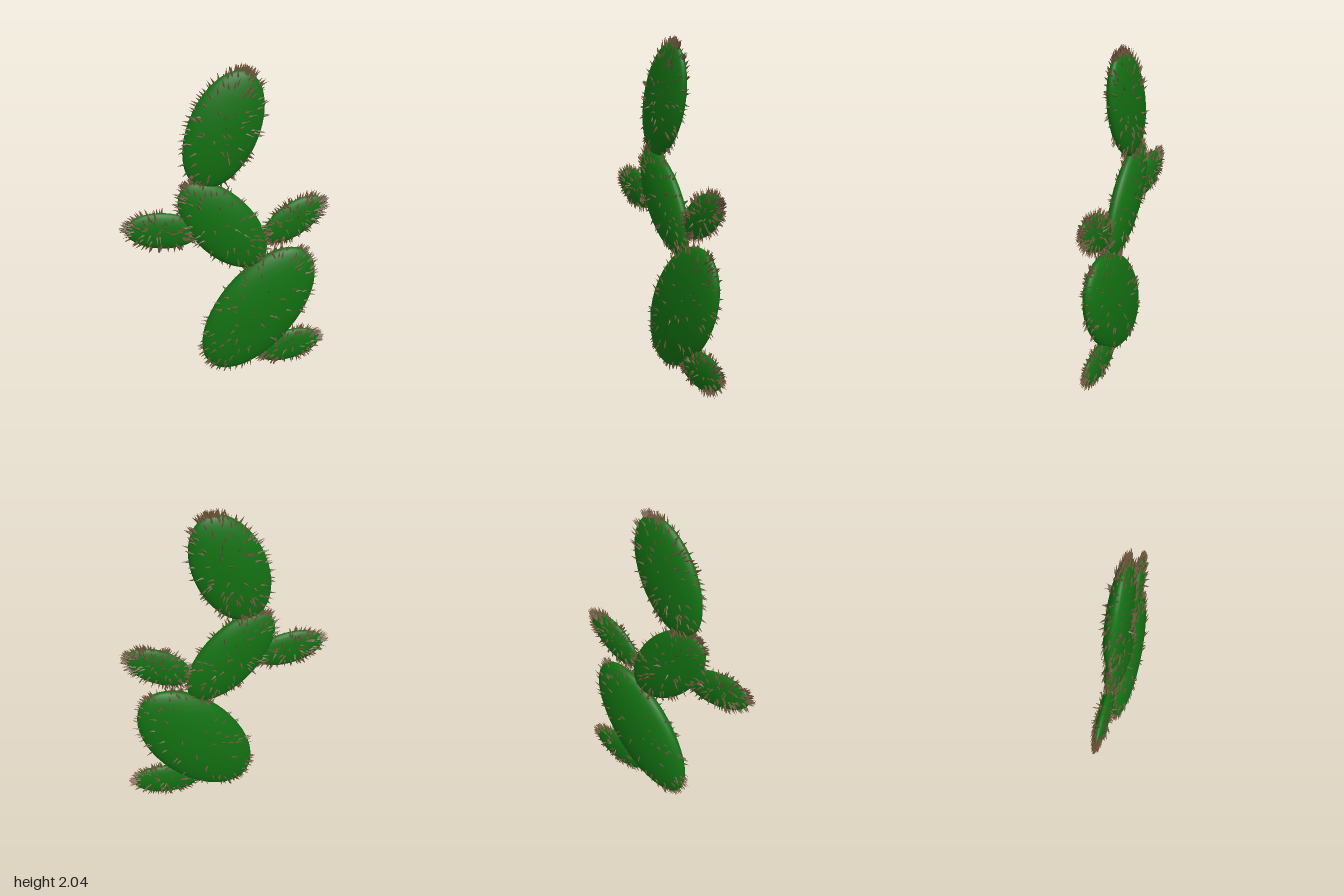
import * as THREE from 'three';
import { mergeGeometries } from 'three/addons/utils/BufferGeometryUtils.js';

const padMaterial = new THREE.MeshStandardMaterial({ color: 0x127012 });
const spineMaterial = new THREE.MeshStandardMaterial({ color: 0x6f553c, flatShading: true });

// Flattened pads: centre, half length, half width, half thickness,
// lean of the long axis from +x in degrees, number of spines
const PADS = [
  { name: 'basePad', x: 0.18, y: 0.445, a: 0.49, b: 0.272, t: 0.09, angle: 54, spines: 210 },
  { name: 'middlePad', x: -0.04, y: 1.06, a: 0.352, b: 0.186, t: 0.064, angle: 130, spines: 210 },
  { name: 'topPad', x: -0.04, y: 1.645, a: 0.35, b: 0.203, t: 0.065, angle: 67, spines: 240 },
  { name: 'rightArmPad', x: -0.4, y: 1.065, a: 0.215, b: 0.113, t: 0.037, angle: 172, spines: 240 },
  { name: 'leftArmPad', x: 0.385, y: 1.06, a: 0.21, b: 0.11, t: 0.037, angle: 33, spines: 240 },
  { name: 'lowerSidePad', x: 0.39, y: 0.138, a: 0.215, b: 0.115, t: 0.037, angle: 10, spines: 240 },
];

// Small seeded random generator
function seeded(seed) {
  let s = seed;
  return () => {
    s = (s * 16807) % 2147483647;
    return s / 2147483647;
  };
}

// Spines spread evenly by latitude, so they crowd towards both ends of the pad
function spineGeometry({ a, b, t, spines }, random) {
  const up = new THREE.Vector3(0, 1, 0);
  const parts = [];
  for (let i = 0; i < spines; i++) {
    const lat = Math.PI * random();
    const lon = 2 * Math.PI * random();
    const p = new THREE.Vector3(
      Math.sin(lat) * Math.cos(lon), Math.cos(lat), Math.sin(lat) * Math.sin(lon));
    const jitter = () => (random() - 0.5) * 0.5;
    const dir = new THREE.Vector3(p.x + jitter(), p.y + jitter(), p.z * 0.3).normalize();
    const length = 0.036 + 0.018 * random();
    const cone = new THREE.ConeGeometry(0.008, length, 4);
    cone.translate(0, length * 0.3, 0);
    cone.applyQuaternion(new THREE.Quaternion().setFromUnitVectors(up, dir));
    cone.translate(p.x * b, p.y * a, p.z * t);
    parts.push(cone);
  }
  return mergeGeometries(parts);
}

export function createModel() {
  const cactus = new THREE.Group();
  cactus.name = 'cactus';
  PADS.forEach((pad, i) => {
    const group = new THREE.Group();
    group.name = pad.name;

    // Smooth flattened body
    const geometry = new THREE.SphereGeometry(1, 40, 28);
    geometry.scale(pad.b, pad.a, pad.t);
    const body = new THREE.Mesh(geometry, padMaterial);
    body.name = pad.name + 'Body';

    // Brown spines
    const spines = new THREE.Mesh(spineGeometry(pad, seeded(1234 + i * 7919)), spineMaterial);
    spines.name = pad.name + 'Spines';

    group.add(body, spines);
    group.position.set(pad.x, pad.y, 0);
    group.rotation.z = THREE.MathUtils.degToRad(pad.angle - 90);
    cactus.add(group);
  });
  return cactus;
}
